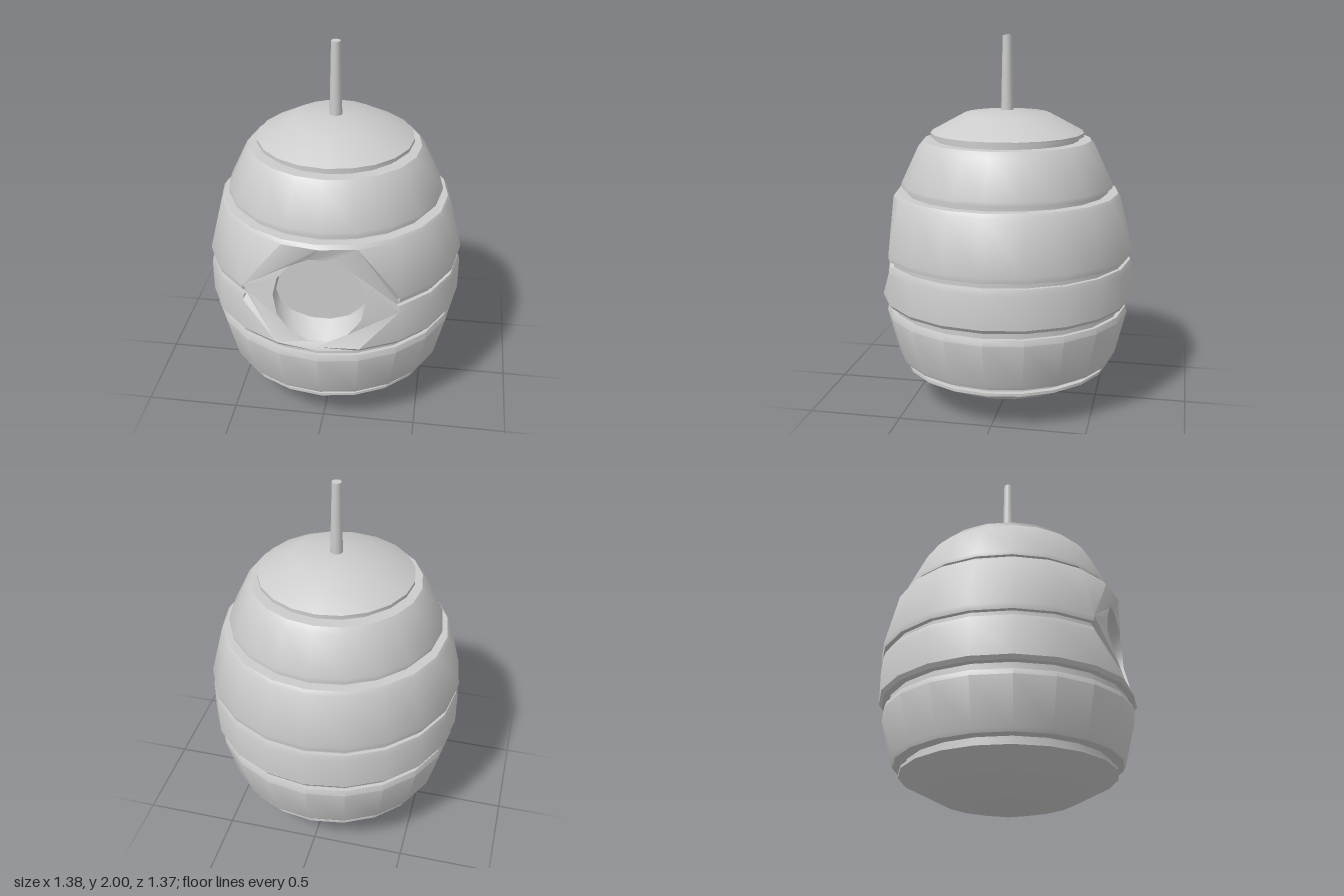
import * as THREE from 'three';
import { toCreasedNormals } from 'three/addons/utils/BufferGeometryUtils.js';

const SEGMENTS = 20;
const OFFSET_Z = 0.008;

// Radius and height of the ribbed shell, from the bottom tip to the crown
const PROFILE = [
  [0, 0], [0.37, 0.095], [0.57, 0.2], [0.57, 0.215], [0.54, 0.215],
  [0.54, 0.25], [0.6, 0.25], [0.61, 0.27], [0.67, 0.51], [0.66, 0.54], [0.64, 0.54],
  [0.64, 0.58], [0.675, 0.58], [0.69, 0.6], [0.69, 0.78], [0.68, 0.81], [0.66, 0.81],
  [0.66, 0.84], [0.685, 0.84], [0.69, 0.87], [0.62, 1.15], [0.605, 1.17], [0.55, 1.17],
  [0.55, 1.2], [0.575, 1.2], [0.575, 1.22], [0.48, 1.42], [0.455, 1.45], [0.39, 1.45],
  [0.39, 1.47], [0.415, 1.47], [0.415, 1.49], [0.23, 1.59], [0, 1.61],
];

// Block of shell cells replaced by the patch around the entrance
const PATCH = { row0: 13, row1: 20, half: 2 };
const HOLE = { y: 0.85, rx: 0.24, ry: 0.23, sides: 14 };

function shellPoint(i, j) {
  const [r, y] = PROFILE[j];
  const a = (i / SEGMENTS) * Math.PI * 2;
  const z = r * Math.cos(a);
  // the lip under the entrance is pressed in slightly
  const pressed = j === PATCH.row0 && Math.abs(z) === z ? Math.min(z, 0.668) : z;
  return new THREE.Vector3(r * Math.sin(a), y, pressed);
}

function geometryFrom(triangles, crease) {
  const geometry = new THREE.BufferGeometry().setFromPoints(triangles);
  return toCreasedNormals(geometry, crease);
}

// Rim of the entrance, leaning forward at the bottom
function rimPoints() {
  return Array.from({ length: HOLE.sides }, (_, k) => {
    const a = ((k + 0.5) / HOLE.sides) * Math.PI * 2 + Math.PI / HOLE.sides;
    const y = HOLE.y + HOLE.ry * Math.sin(a);
    return new THREE.Vector3(HOLE.rx * Math.cos(a), y, 0.592 + Math.max(0, HOLE.y - y) * 0.25);
  });
}

function shellGeometry(rim) {
  const out = [];
  const { row0, row1, half } = PATCH;
  for (let i = -SEGMENTS / 2; i < SEGMENTS / 2; i++) {
    for (let j = 0; j < PROFILE.length - 1; j++) {
      if (i >= -half && i < half && j >= row0 && j < row1) continue;
      const a = shellPoint(i, j), b = shellPoint(i + 1, j);
      const c = shellPoint(i + 1, j + 1), d = shellPoint(i, j + 1);
      if (PROFILE[j][0] > 0) out.push(a, b, d);
      if (PROFILE[j + 1][0] > 0) out.push(b, c, d);
    }
  }

  // Patch: fill between the edge of the missing block and the rim
  const edge = [];
  for (let i = -half; i <= half; i++) edge.push(shellPoint(i, row0));
  for (let j = row0 + 1; j <= row1; j++) edge.push(shellPoint(half, j));
  for (let i = half - 1; i >= -half; i--) edge.push(shellPoint(i, row1));
  for (let j = row1 - 1; j > row0; j--) edge.push(shellPoint(-half, j));
  const hole = [...rim].reverse();
  const flat = (points) => points.map((p) => new THREE.Vector2(p.x, p.y));
  const all = [...edge, ...hole];
  for (const face of THREE.ShapeUtils.triangulateShape(flat(edge), [flat(hole)])) {
    const [a, b, c] = face.map((k) => all[k]);
    const area = (b.x - a.x) * (c.y - a.y) - (b.y - a.y) * (c.x - a.x);
    out.push(...(area > 0 ? [a, b, c] : [a, c, b]));
  }
  return geometryFrom(out, 0.6);
}

// Shallow recess: short walls, a sloping sill and a flat back
function recessGeometry(rim) {
  const out = [];
  const back = rim.map((p) => {
    const dy = p.y - HOLE.y;
    return new THREE.Vector3(p.x * 0.97, HOLE.y + dy * (dy < 0 ? 0.72 : 0.97), 0.535);
  });
  const centre = new THREE.Vector3(0, HOLE.y, 0.535);
  rim.forEach((a, k) => {
    const n = (k + 1) % rim.length;
    out.push(a, back[k], rim[n], rim[n], back[k], back[n]);
    out.push(centre, back[k], back[n]);
  });
  return geometryFrom(out, 1.0);
}

export function createModel() {
  const group = new THREE.Group();
  const material = new THREE.MeshStandardMaterial({ color: 0xcccccc });
  const innerMaterial = new THREE.MeshStandardMaterial({ color: 0xcccccc, side: THREE.DoubleSide });
  const add = (name, geometry, mat, y = 0) => {
    const mesh = new THREE.Mesh(geometry, mat);
    mesh.name = name;
    mesh.position.set(0, y, OFFSET_Z);
    group.add(mesh);
  };

  const rim = rimPoints();
  add('hiveShell', shellGeometry(rim), material);
  add('entranceRecess', recessGeometry(rim), innerMaterial);

  // Tapered hanging stem
  add('stem', new THREE.CylinderGeometry(0.025, 0.034, 0.4, 12), material, 1.8);
  return group;
}
